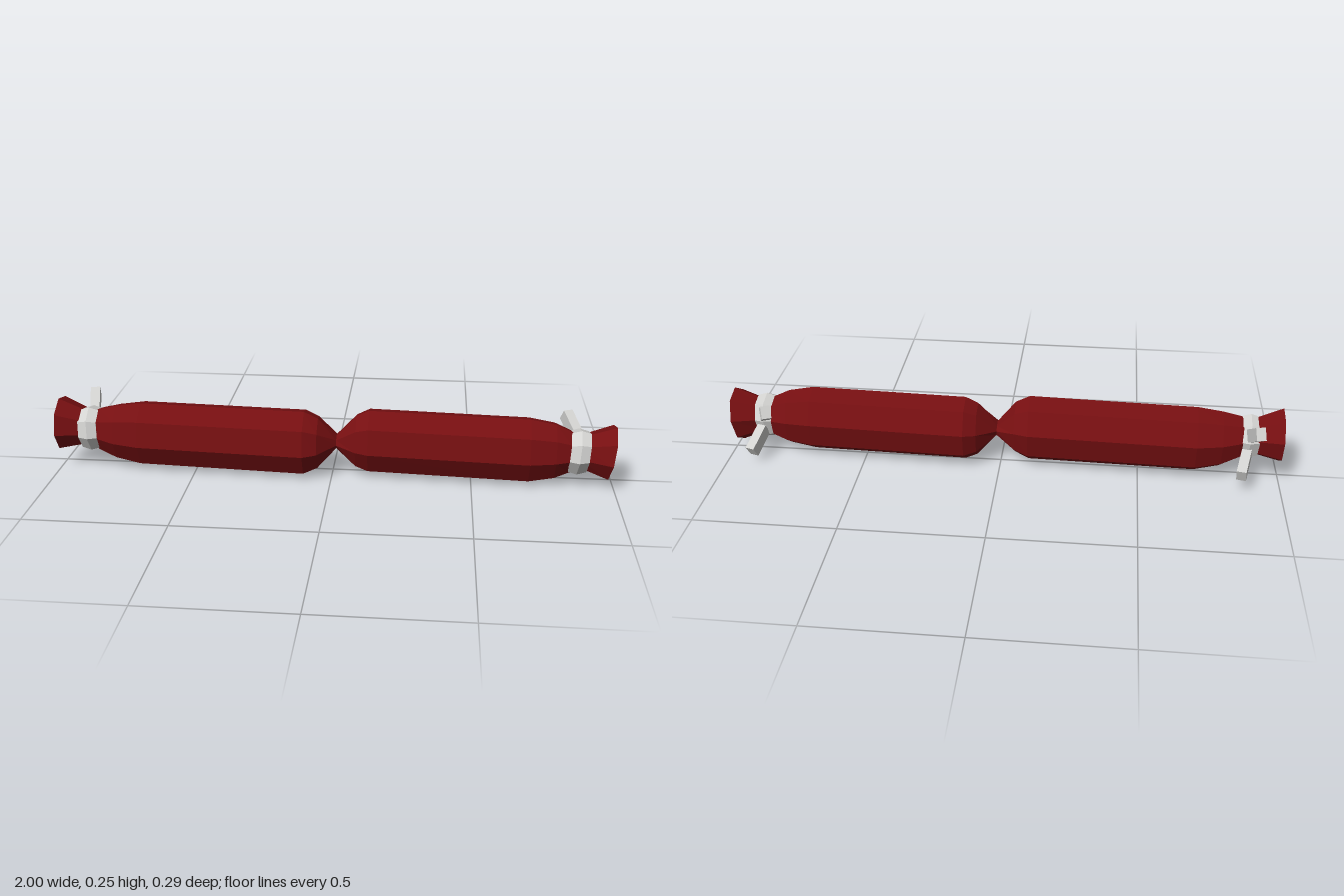
import * as THREE from 'three';

const SIDES = 8;
const OFFSET = -0.16; // roll of the octagon about the long axis

// Loft octagons along x. Section: [x, centre y, centre z, radius y, radius z, lean of x with height]
function loft(sections) {
  const pos = [];
  const point = ([x, cy, cz, ry, rz, lean = 0], j) => {
    const t = OFFSET + (j % SIDES) * Math.PI * 2 / SIDES;
    const dy = ry * Math.sin(t);
    return [x + lean * dy, cy + dy, cz + rz * Math.cos(t)];
  };
  for (let i = 0; i < sections.length - 1; i++) {
    const s = sections[i], e = sections[i + 1];
    for (let j = 0; j < SIDES; j++) {
      const a = point(s, j), b = point(e, j), c = point(s, j + 1), d = point(e, j + 1);
      if (s[3] > 0) pos.push(...a, ...b, ...c);
      if (e[3] > 0) pos.push(...c, ...b, ...d);
    }
  }
  const g = new THREE.BufferGeometry();
  g.setAttribute('position', new THREE.Float32BufferAttribute(pos, 3));
  g.computeVertexNormals();
  return g;
}

export function createModel() {
  const model = new THREE.Group();
  const casing = new THREE.MeshStandardMaterial({ color: 0x760f11, flatShading: true });
  casing.name = 'dark red casing';
  const string = new THREE.MeshStandardMaterial({ color: 0xd2d2d0, flatShading: true });
  string.name = 'pale string';

  const add = (name, geometry, material, parent = model) => {
    const mesh = new THREE.Mesh(geometry, material);
    mesh.name = name;
    parent.add(mesh);
    return mesh;
  };

  // Two links with a pinched waist, flared ends and hollowed tips
  add('sausageCasing', loft([
    [-0.92, 0.15, 0.018, 0, 0],
    [-1, 0.157, 0.017, 0.099, 0.099],
    [-0.89, 0.145, 0.02, 0.062, 0.062],
    [-0.85, 0.138, 0.017, 0.082, 0.076],
    [-0.79, 0.13, 0.014, 0.104, 0.092],
    [-0.7, 0.126, 0.012, 0.121, 0.105],
    [-0.1, 0.122, 0.037, 0.123, 0.105],
    [-0.05, 0.122, 0.038, 0.098, 0.086],
    [0.015, 0.123, 0.022, 0.024, 0.037],
    [0.085, 0.123, 0.008, 0.1, 0.085],
    [0.13, 0.125, 0.006, 0.12, 0.103],
    [0.7, 0.121, 0.031, 0.121, 0.102],
    [0.79, 0.121, 0.031, 0.104, 0.09],
    [0.84, 0.121, 0.032, 0.08, 0.075],
    [0.88, 0.121, 0.034, 0.06, 0.06],
    [0.987, 0.122, 0.033, 0.1, 0.099, 0.13],
    [0.91, 0.115, 0.034, 0, 0],
  ]), casing);

  // String ties: a bevelled band with two loose tails at the back
  const ties = [
    { name: 'rightTie', x: -0.885, y: 0.142, z: 0.022, lean: -0.06,
      tails: [[[-0.888, 0.172, -0.03], [-0.908, 0.232, -0.122]],
              [[-0.882, 0.112, -0.03], [-0.856, 0.07, -0.138]]] },
    { name: 'leftTie', x: 0.872, y: 0.122, z: 0.036, lean: 0.08,
      tails: [[[0.87, 0.158, -0.03], [0.838, 0.208, -0.104]],
              [[0.878, 0.1, -0.03], [0.905, 0.045, -0.113]]] },
  ];
  for (const { name, x, y, z, lean, tails } of ties) {
    const tie = new THREE.Group();
    tie.name = name;
    model.add(tie);
    const ring = (dx, r) => [x + dx, y, z, r, r, lean];
    add(name + 'Band', loft([
      ring(-0.03, 0.052), ring(-0.034, 0.074), ring(0, 0.084), ring(0.034, 0.074), ring(0.03, 0.052),
    ]), string, tie);
    tails.forEach(([from, to], i) => {
      const a = new THREE.Vector3(...from), b = new THREE.Vector3(...to);
      const tail = add(name + (i ? 'LowerTail' : 'UpperTail'),
        new THREE.BoxGeometry(0.034, 0.046, a.distanceTo(b)), string, tie);
      tail.position.copy(a).lerp(b, 0.5);
      tail.lookAt(b);
    });
  }
  return model;
}
